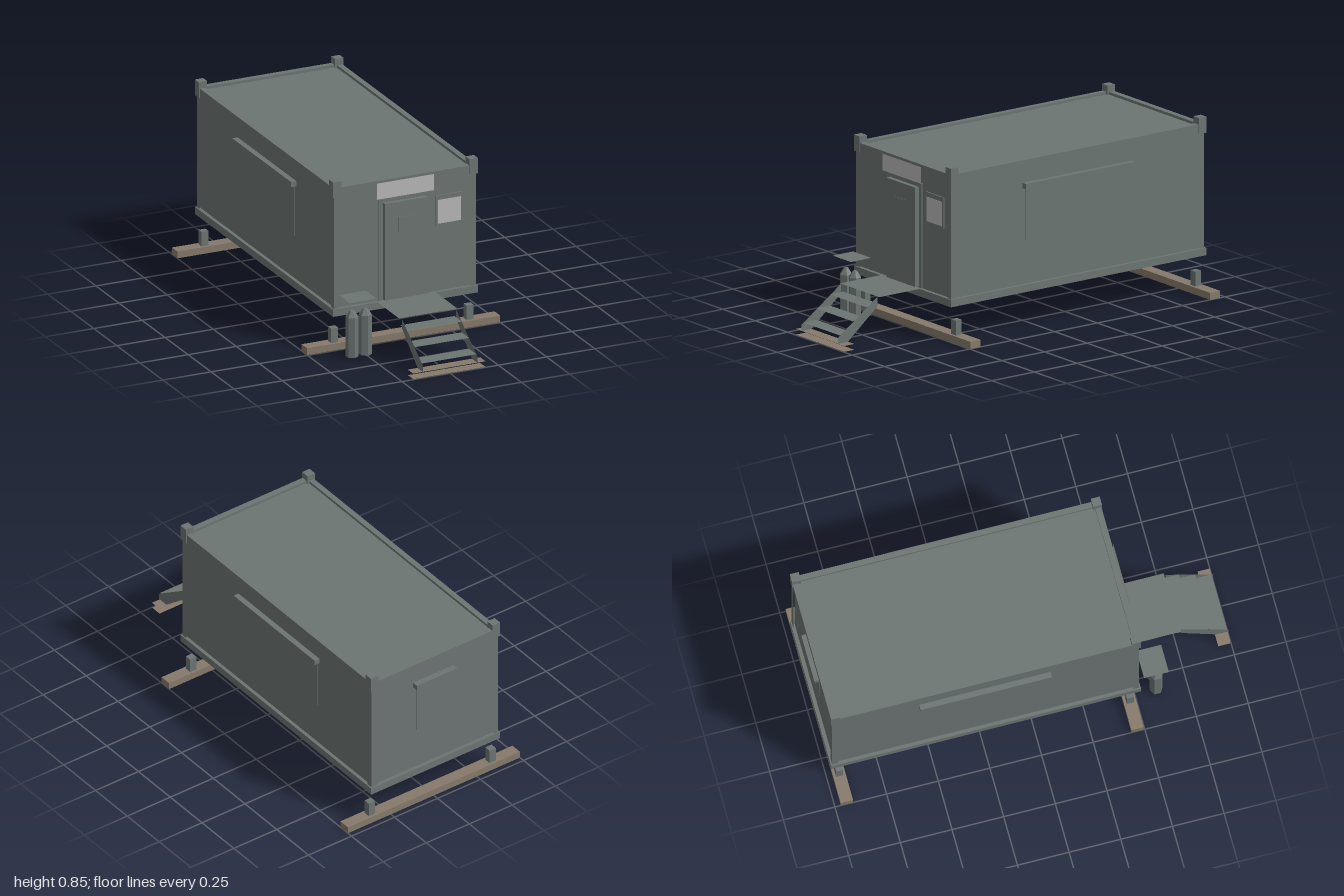
import * as THREE from 'three';

export function createModel() {
  const root = new THREE.Group();
  const mat = (name, color, side = THREE.FrontSide) => {
    const m = new THREE.MeshStandardMaterial({ color, side });
    m.name = name;
    return m;
  };
  const steel = mat('greySteel', 0x6c7573);
  const sheet = mat('greySheet', 0x6c7573, THREE.DoubleSide);
  const wood = mat('brownWood', 0x85796a, THREE.DoubleSide);
  const pale = mat('paleGrey', 0xb8b9b8, THREE.DoubleSide);

  const add = (name, geo, material, parent = root) => {
    const m = new THREE.Mesh(geo, material);
    m.name = name;
    parent.add(m);
    return m;
  };
  // box given by its limits on each axis
  const box = (name, x0, x1, y0, y1, z0, z1, material = steel, parent = root) => {
    const m = add(name, new THREE.BoxGeometry(x1 - x0, y1 - y0, z1 - z0), material, parent);
    m.position.set((x0 + x1) / 2, (y0 + y1) / 2, (z0 + z1) / 2);
    return m;
  };
  // one-sided wall sheet facing along the angle turn about y (0 = +z)
  const wall = (name, w, h, x, y, z, turn, parent = root) => {
    const m = add(name, new THREE.PlaneGeometry(w, h), steel, parent);
    m.position.set(x, y, z);
    m.rotation.y = turn;
    return m;
  };
  // horizontal sheet
  const flat = (name, x0, x1, z0, z1, y, material = sheet, parent = root) => {
    const m = add(name, new THREE.PlaneGeometry(x1 - x0, z1 - z0), material, parent);
    m.rotation.x = -Math.PI / 2;
    m.position.set((x0 + x1) / 2, y, (z0 + z1) / 2);
    return m;
  };

  // Cabin, built about its own centre in z
  const cabin = new THREE.Group();
  cabin.name = 'cabin';
  cabin.position.z = -0.235;
  root.add(cabin);
  const HX = 0.375, HZ = 0.75;
  box('floorFrame', -HX, HX, 0.177, 0.213, -HZ, HZ, steel, cabin);
  flat('roof', -0.35, 0.35, -0.725, 0.725, 0.805, sheet, cabin);
  for (const s of [-1, 1]) {
    const xs = [s * 0.37, s * 0.342].sort((a, b) => a - b);
    const zs = [s * 0.747, s * 0.717].sort((a, b) => a - b);
    box('sideTopRail', ...xs, 0.772, 0.818, -0.747, 0.747, steel, cabin);
    box('endTopRail', -0.342, 0.342, 0.772, 0.818, ...zs, steel, cabin);
    wall('endWall', 0.716, 0.57, 0, 0.49, s * 0.732, s > 0 ? 0 : Math.PI, cabin);
    wall('sideWall', 1.468, 0.57, s * 0.358, 0.49, 0, s * Math.PI / 2, cabin);
    for (const t of [-1, 1]) {
      const cx = [s * HX, s * 0.332].sort((a, b) => a - b);
      const cz = [t * HZ, t * 0.707].sort((a, b) => a - b);
      box('cornerBlock', ...cx, 0.772, 0.85, ...cz, steel, cabin);
      // corner posts are folded sheets open to the inside
      wall('postEndFace', 0.03, 0.56, s * 0.353, 0.492, t * 0.743, t > 0 ? 0 : Math.PI, cabin);
      wall('postSideFace', 0.03, 0.56, s * 0.368, 0.492, t * 0.728, s * Math.PI / 2, cabin);
    }
    // long side windows with shutter boxes
    const wx = [s * 0.35, s * 0.361].sort((a, b) => a - b);
    const ax = [s * 0.355, s * 0.386].sort((a, b) => a - b);
    box('sideShutter', ...wx, 0.425, 0.68, -0.303, 0.298, steel, cabin);
    box('sideShutterBox', ...ax, 0.679, 0.705, -0.32, 0.317, steel, cabin);
  }
  box('backShutter', -0.1, 0.1, 0.425, 0.68, -0.735, -0.725, steel, cabin);
  box('backShutterBox', -0.118, 0.118, 0.679, 0.705, -0.763, -0.73, steel, cabin);

  // Door, front window and blank board
  box('doorFrame', -0.132, 0.132, 0.213, 0.723, 0.49, 0.503);
  box('doorLeaf', -0.111, 0.111, 0.219, 0.702, 0.495, 0.525);
  box('doorPane', -0.04, 0.038, 0.549, 0.625, 0.522, 0.527);
  box('windowFrame', 0.164, 0.301, 0.54, 0.691, 0.49, 0.503);
  box('windowPane', 0.173, 0.292, 0.55, 0.668, 0.5, 0.505, pale);
  const board = add('board', new THREE.PlaneGeometry(0.296, 0.081), pale);
  board.position.set(-0.001, 0.768, 0.519);

  // Ground beams with short legs
  for (const z of [0.465, -0.942]) {
    box('groundBeam', -0.5, 0.5, 0, 0.034, z - 0.03, z + 0.03, wood);
    for (const s of [-1, 1]) {
      const x = s * 0.351;
      box('leg', x - 0.018, x + 0.018, 0.034, 0.106, z - 0.017, z + 0.017);
    }
  }

  // Entrance steps of thin sheet
  const steps = new THREE.Group();
  steps.name = 'entranceSteps';
  root.add(steps);
  flat('landing', -0.152, 0.15, 0.515, 0.765, 0.219, sheet, steps);
  [[0.755, 0.835, 0.18], [0.832, 0.915, 0.125], [0.913, 0.992, 0.07]].forEach(([z0, z1, y]) =>
    flat('tread', -0.14, 0.14, z0, z1, y, sheet, steps));
  // stringer outline drawn as (-z, y) and turned to stand along z
  const outline = new THREE.Shape([[-0.77, 0.219], [-0.77, 0.172], [-0.943, 0.03], [-1, 0.03], [-1, 0.06]]
    .map(([a, b]) => new THREE.Vector2(a, b)));
  for (const s of [-1, 1]) {
    const stringer = add('stringer', new THREE.ShapeGeometry(outline), sheet, steps);
    stringer.rotation.y = Math.PI / 2;
    stringer.position.x = s * 0.141;
  }
  for (const y of [0.001, 0.029]) flat('footBoard', -0.19, 0.185, 0.938, 0.997, y, wood, steps);

  // Two gas bottles under a cover sheet
  for (const x of [-0.319, -0.25]) {
    const bottle = new THREE.Group();
    bottle.name = 'gasBottle';
    bottle.position.set(x, 0, 0.603);
    const flatSteel = steel;
    const body = add('bottleBody', new THREE.CylinderGeometry(0.031, 0.031, 0.198, 6).toNonIndexed(), flatSteel, bottle);
    body.position.y = 0.102;
    const neck = add('bottleNeck', new THREE.CylinderGeometry(0.011, 0.031, 0.03, 6).toNonIndexed(), flatSteel, bottle);
    neck.position.y = 0.216;
    for (const m of [body, neck]) m.geometry.computeVertexNormals();
    root.add(bottle);
  }
  flat('bottleCover', -0.355, -0.215, 0.535, 0.655, 0.29);

  return root;
}
